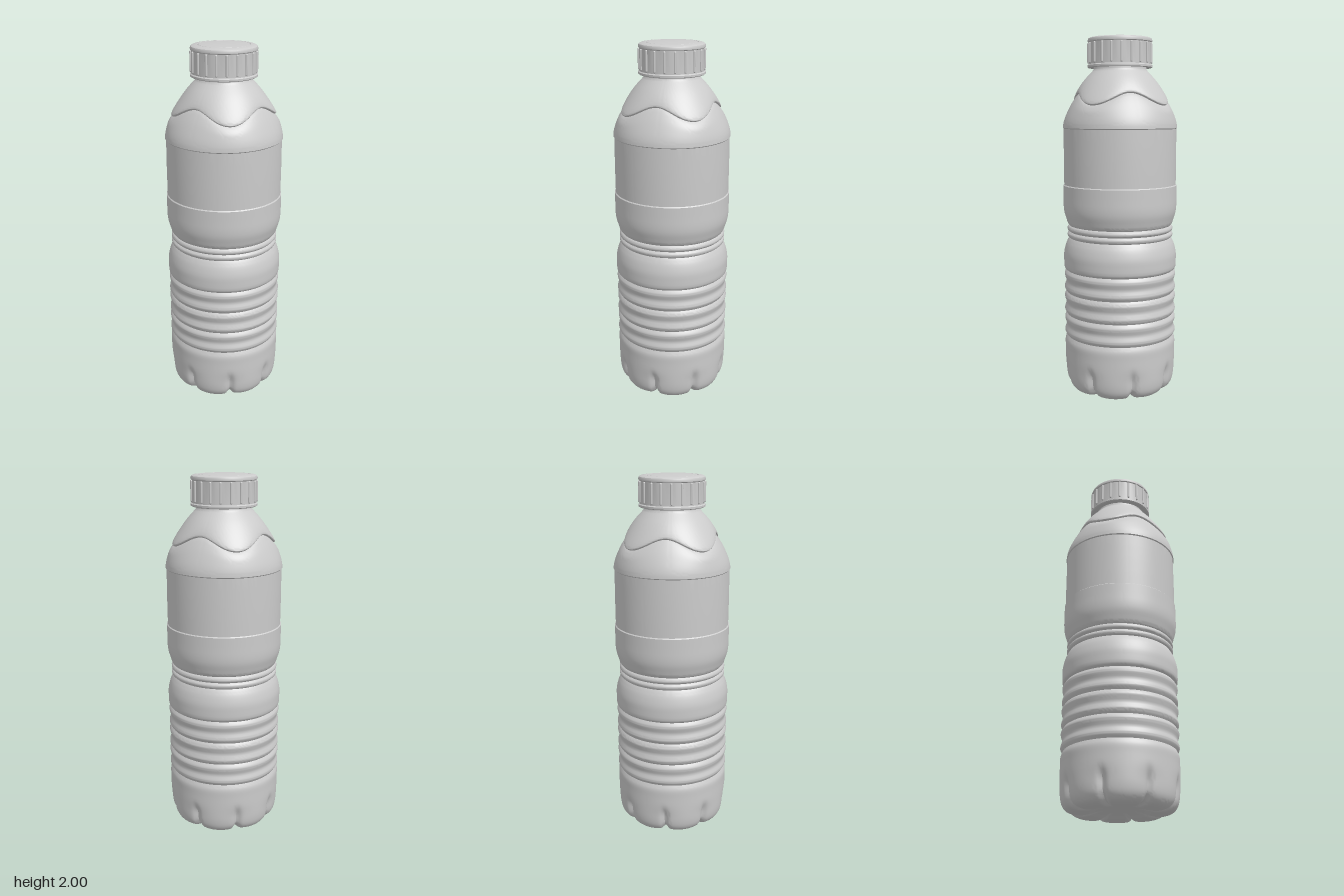
import * as THREE from 'three';
import { mergeVertices, toCreasedNormals } from 'three/addons/utils/BufferGeometryUtils.js';

const { smoothstep } = THREE.MathUtils;
const material = new THREE.MeshStandardMaterial({ color: 0xcccccc, side: THREE.DoubleSide });
const PHASE = 0.09; // slight twist shared by shoulder wave and base grooves

// Smooth run through [radius, height] points.
function run(points, steps) {
  return new THREE.SplineCurve(points.map(([r, y]) => new THREE.Vector2(r, y))).getPoints(steps);
}

// Lathe whose vertices may be reshaped by a rule, with sharp edges kept.
function turned(name, profile, segments, rule, crease = 0.6) {
  let g = new THREE.LatheGeometry(profile, segments);
  const p = g.attributes.position;
  if (rule) {
    for (let i = 0; i < p.count; i++) {
      const x = p.getX(i), z = p.getZ(i);
      const angle = Math.atan2(x, z);
      const [r, y] = rule(Math.hypot(x, z), p.getY(i), angle);
      p.setXYZ(i, r * Math.sin(angle), y, r * Math.cos(angle));
    }
  }
  g.deleteAttribute('normal');
  g.deleteAttribute('uv');
  g = toCreasedNormals(mergeVertices(g, 1e-5), crease);
  const mesh = new THREE.Mesh(g, material);
  mesh.name = name;
  return mesh;
}

function bodyProfile() {
  const parts = [];
  // base and lower wall
  parts.push(run([[0, 0.035], [0.1, 0.025], [0.18, 0.006], [0.23, 0.003], [0.275, 0.016],
    [0.3, 0.045], [0.311, 0.09], [0.315, 0.16], [0.316, 0.24], [0.316, 0.29], [0.305, 0.32]], 44));
  // corrugated grip: a tight groove, then two ribs with a soft dip between
  for (let i = 0; i < 3; i++) {
    const y = 0.32 + i * 0.127;
    parts.push(run([[0.305, y], [0.317, y + 0.02], [0.316, y + 0.036], [0.308, y + 0.062],
      [0.316, y + 0.09], [0.317, y + 0.107], [0.305, y + 0.127]], 16));
  }
  // belly up to the waist
  parts.push(run([[0.305, 0.701], [0.318, 0.716], [0.32, 0.76], [0.319, 0.8], [0.308, 0.845],
    [0.296, 0.872], [0.288, 0.885]], 16));
  // two fine waist rings
  for (const y of [0.885, 0.92]) {
    parts.push(run([[0.288, y], [0.298, y + 0.01], [0.298, y + 0.025], [0.288, y + 0.035]], 7));
  }
  // upper band
  parts.push(run([[0.288, 0.955], [0.297, 0.967], [0.306, 0.995], [0.316, 1.03], [0.32, 1.07],
    [0.32, 1.12], [0.32, 1.18]], 16));
  // label panel, slightly recessed
  parts.push(run([[0.315, 1.185], [0.316, 1.34], [0.315, 1.495]], 4));
  // shoulder below the wavy edge
  parts.push(run([[0.32, 1.5], [0.317, 1.525], [0.307, 1.56], [0.288, 1.605], [0.266, 1.64],
    [0.253, 1.654]], 18));
  // raised shoulder panel and neck
  parts.push(run([[0.253, 1.654], [0.261, 1.66], [0.259, 1.67], [0.246, 1.694], [0.222, 1.73],
    [0.195, 1.765], [0.168, 1.795], [0.15, 1.815], [0.146, 1.83], [0.146, 1.86]], 30));
  return parts.flat().filter((v, i, all) => i === 0 || v.distanceTo(all[i - 1]) > 1e-5);
}

// Wavy shoulder edge and eight pinched grooves around the foot.
function bodyRule(r, y, angle) {
  const a = angle + PHASE;
  if (y > 1.45) {
    const dy = 0.033 * Math.cos(4 * a) * Math.exp(-(((y - 1.66) / 0.08) ** 2));
    return [r - 0.68 * dy, y + dy];
  }
  if (y < 0.21) {
    const pitch = Math.PI / 4;
    const off = a - Math.round(a / pitch) * pitch;
    const fade = (1 - smoothstep(y, 0.11, 0.2)) * smoothstep(r, 0.04, 0.22);
    const depth = fade * (0.02 * Math.exp(-((off / 0.06) ** 2)) + 0.007 * Math.exp(-((off / 0.2) ** 2)));
    return [r - depth, y + 0.7 * depth * (1 - smoothstep(y, 0.02, 0.08))];
  }
  return [r, y];
}

function createCap() {
  const cap = new THREE.Group();
  cap.name = 'cap';
  const v = (pts) => pts.map(([r, y]) => new THREE.Vector2(r, y));
  // shell: bottom flange, grip wall, rounded rim, inset top disc
  cap.add(turned('capShell', v([[0.14, 1.832], [0.174, 1.828], [0.18, 1.832], [0.18, 1.842],
    [0.174, 1.847], [0.173, 1.965], [0.178, 1.969], [0.179, 1.977], [0.175, 1.986], [0.166, 1.991],
    [0.14, 1.994], [0.137, 1.991], [0.134, 1.994], [0.08, 1.998], [0, 2]]), 64));
  // grip ribs
  const ribGeometry = new THREE.CapsuleGeometry(0.0065, 0.1, 4, 10);
  const count = 20;
  for (let i = 0; i < count; i++) {
    const a = (i / count) * Math.PI * 2 + 0.03;
    const rib = new THREE.Mesh(ribGeometry, material);
    rib.name = 'gripRib';
    rib.position.set(0.175 * Math.sin(a), 1.908, 0.175 * Math.cos(a));
    rib.rotation.y = a;
    cap.add(rib);
  }
  return cap;
}

export function createModel() {
  const bottle = new THREE.Group();
  bottle.name = 'bottle';
  bottle.add(turned('body', bodyProfile(), 192, bodyRule), createCap());
  return bottle;
}
